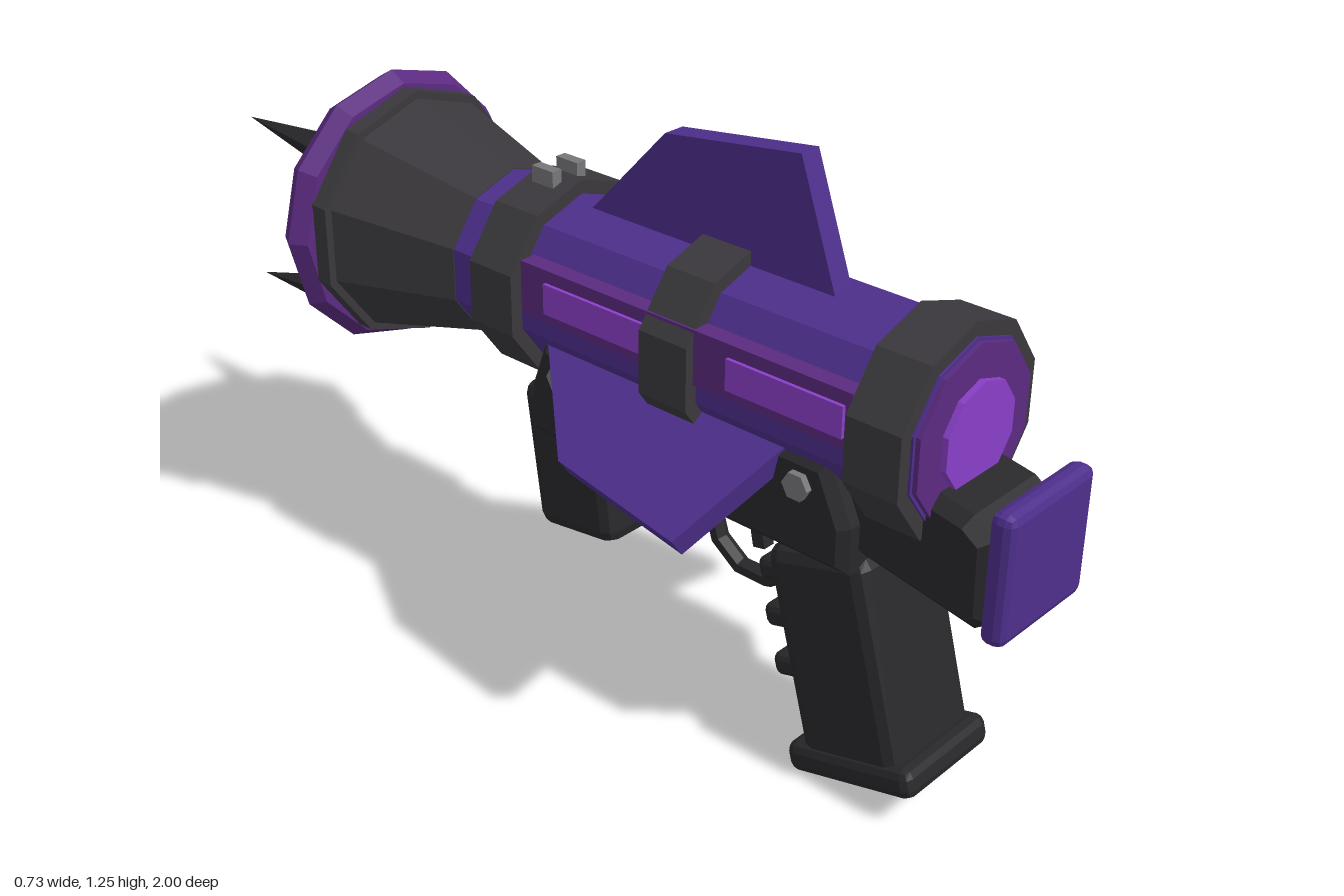
import * as THREE from 'three';
import { RoundedBoxGeometry } from 'three/addons/geometries/RoundedBoxGeometry.js';

const AXIS_Y = 0.83; // height of the barrel axis

const mat = (color) => new THREE.MeshStandardMaterial({ color, flatShading: true });

export function createModel() {
  const model = new THREE.Group();
  const violet = mat(0x4d2f8c), plum = mat(0x5a2a80), glow = mat(0x8a3fc8);
  const black = mat(0x28272a), iron = mat(0x3a383c), steel = mat(0x77777a);

  function add(name, geometry, material, x = 0, y = 0, z = 0, tilt = 0) {
    const mesh = new THREE.Mesh(geometry, material);
    mesh.name = name;
    mesh.position.set(x, y, z);
    mesh.rotation.x = tilt;
    model.add(mesh);
    return mesh;
  }

  // Ten-sided section on the barrel axis, from zBack to zFront
  function section(name, zBack, zFront, rBack, rFront, material) {
    const g = new THREE.CylinderGeometry(rFront, rBack, zFront - zBack, 10).rotateX(Math.PI / 2);
    return add(name, g, material, 0, AXIS_Y, (zBack + zFront) / 2);
  }

  // Side profile given as [z, y], extruded across x with chamfered edges
  function slab(points, width, bevel = 0) {
    const shape = new THREE.Shape(points.map(([z, y]) => new THREE.Vector2(z, y)));
    const g = new THREE.ExtrudeGeometry(shape, {
      depth: width - 2 * bevel, bevelEnabled: bevel > 0, bevelSegments: 1,
      bevelSize: bevel, bevelThickness: bevel, bevelOffset: -bevel,
    });
    return g.translate(0, 0, -(width - 2 * bevel) / 2).rotateY(-Math.PI / 2);
  }

  const chamferBox = (w, h, d, r) => new RoundedBoxGeometry(w, h, d, 1, r);

  // Barrel, rear cap and flared muzzle
  section('barrel', -0.36, 0.815, 0.185, 0.185, violet);
  section('rearCap', 0.81, 0.825, 0.178, 0.178, plum);
  section('rearLens', 0.82, 0.838, 0.108, 0.108, glow);
  section('muzzleFlare', -0.66, -0.35, 0.27, 0.187, iron);
  section('muzzleRim', -0.70, -0.65, 0.285, 0.285, iron);
  add('muzzleRing', new THREE.TorusGeometry(0.27, 0.045, 6, 12), plum, 0, AXIS_Y, -0.73);

  // Clamps round the barrel
  for (const z of [0.75, 0.26, -0.21]) section('clamp', z - 0.06, z + 0.06, 0.215, 0.215, iron);
  for (const s of [-1, 1]) {
    add('clampStud', new THREE.BoxGeometry(0.025, 0.06, 0.06), steel, s * 0.035, 1.035, -0.215);
  }

  // Crystal in the muzzle
  const crystal = add('crystal', new THREE.IcosahedronGeometry(0.158), plum, 0, 0.815, -0.768);
  crystal.rotation.set(0.35, 0.45, 0.1);

  // Spikes on the muzzle ring
  for (const sx of [-1, 1]) {
    for (const sy of [-1, 1]) {
      const from = new THREE.Vector3(sx * 0.165, AXIS_Y + sy * 0.165, -0.72);
      const to = new THREE.Vector3(sx * 0.19, AXIS_Y + sy * 0.19, -1);
      const dir = to.clone().sub(from);
      const spike = add('spike', new THREE.ConeGeometry(0.046, dir.length(), 5), black);
      spike.position.copy(from).add(to).multiplyScalar(0.5);
      spike.quaternion.setFromUnitVectors(new THREE.Vector3(0, 1, 0), dir.normalize());
    }
  }

  // Three fins set round the barrel axis
  const finGeo = slab([[0.53, 0.15], [0.43, 0.43], [0.1, 0.385], [-0.12, 0.15]], 0.05);
  for (const angle of [0, 126, -126]) {
    add('fin', finGeo, violet, 0, AXIS_Y, 0).rotation.z = THREE.MathUtils.degToRad(angle);
  }

  // Side strips, glowing panels and bolts
  for (const s of [-1, 1]) {
    add('sideStrip', new THREE.BoxGeometry(0.05, 0.115, 0.83), plum, s * 0.16, 0.872, 0.275);
    for (const z of [0.54, 0.065]) {
      add('glowPanel', new THREE.BoxGeometry(0.03, 0.065, 0.27), glow, s * 0.178, 0.87, z);
    }
    for (const z of [0.565, -0.05]) {
      const bolt = new THREE.CylinderGeometry(0.03, 0.03, 0.04, 6).rotateZ(Math.PI / 2);
      add('bolt', bolt, steel, s * 0.16, 0.69, z);
    }
  }

  // Receiver under the barrel
  add('receiver', slab([
    [0.675, 0.53], [0.675, 0.63], [0.62, 0.75], [-0.11, 0.75], [-0.155, 0.63], [-0.15, 0.53],
  ], 0.33, 0.02), black);

  // Shoulder stock
  add('stockArm', slab([
    [0.955, 0.53], [0.95, 0.7], [0.9, 0.735], [0.82, 0.75], [0.62, 0.75], [0.62, 0.56], [0.92, 0.505],
  ], 0.24, 0.025), black);
  add('buttPlate', chamferBox(0.27, 0.27, 0.05, 0.018), violet, 0, 0.643, 0.975);

  // Rear grip with finger ridges and base plate
  const lean = -0.27;
  add('grip', chamferBox(0.25, 0.48, 0.24, 0.03), black, 0, 0.29, 0.63, lean);
  add('gripBase', chamferBox(0.27, 0.065, 0.305, 0.02), black, 0, 0.073, 0.688, lean);
  for (const [y, z] of [[0.42, 0.455], [0.32, 0.475], [0.215, 0.503]]) {
    add('fingerRidge', chamferBox(0.2, 0.05, 0.07, 0.015), black, 0, y, z, lean);
  }

  // Trigger and guard
  const guard = new THREE.TorusGeometry(0.117, 0.02, 6, 10).rotateY(Math.PI / 2);
  add('triggerGuard', guard, black, 0, 0.43, 0.335);
  add('trigger', new THREE.BoxGeometry(0.03, 0.1, 0.03), black, 0, 0.44, 0.345, -0.2);

  // Forward grip
  add('foreGrip', chamferBox(0.22, 0.34, 0.225, 0.03), black, 0, 0.445, -0.1, -0.14);

  return model;
}
